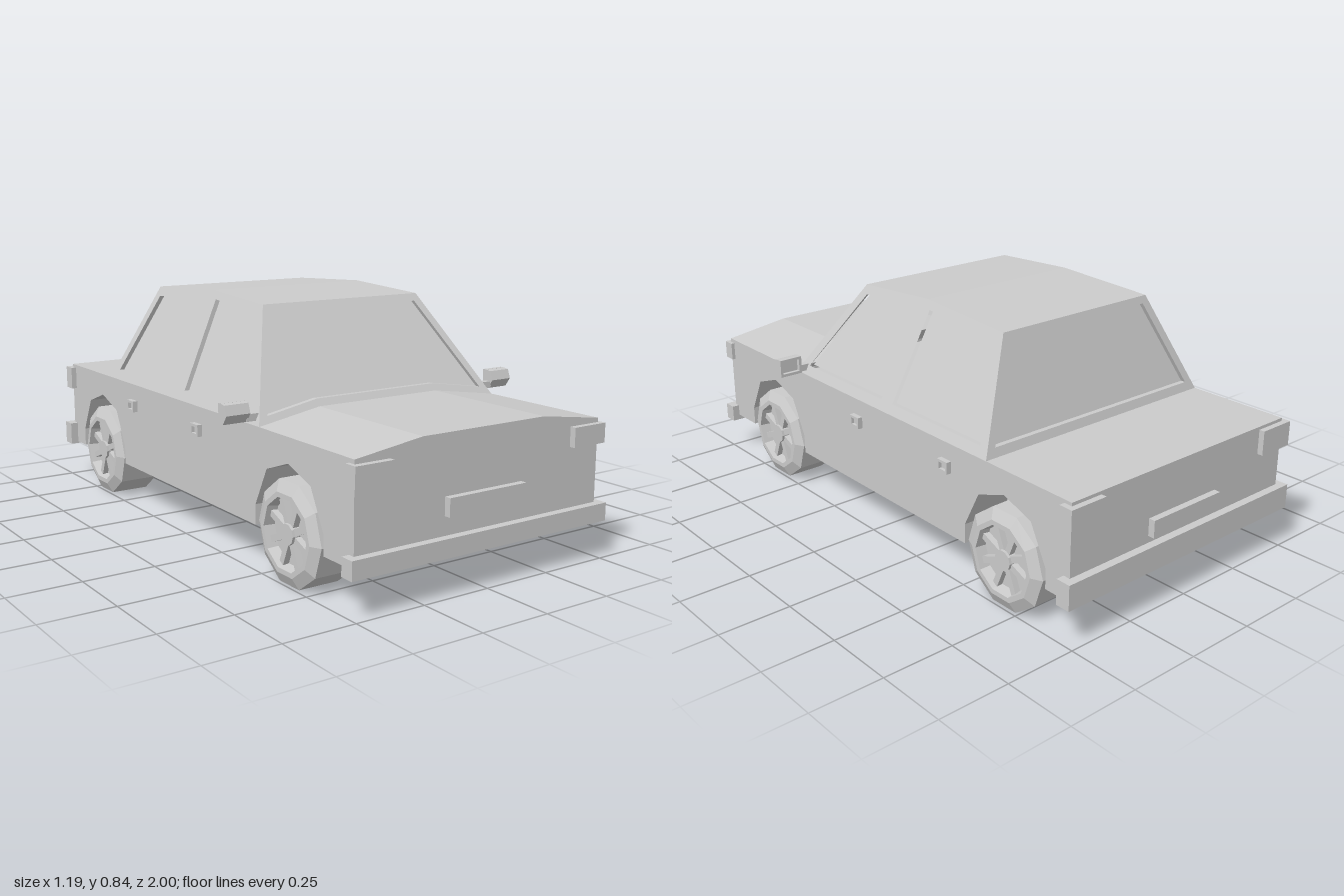
import * as THREE from 'three';

const mat = new THREE.MeshStandardMaterial({ color: 0xcccccc, flatShading: true });
const V = (pts) => pts.map(([x, y]) => new THREE.Vector2(x, y));

function add(parent, name, geometry) {
  const mesh = new THREE.Mesh(geometry, mat);
  mesh.name = name;
  parent.add(mesh);
  return mesh;
}

// Box given by its limits on each axis
function box(parent, name, x0, x1, y0, y1, z0, z1) {
  const g = new THREE.BoxGeometry(Math.abs(x1 - x0), y1 - y0, z1 - z0);
  g.translate((x0 + x1) / 2, (y0 + y1) / 2, (z0 + z1) / 2);
  return add(parent, name, g);
}

// Side profile (-z, y) extruded across x from x0 to x1
function across(pts, x0, x1) {
  const g = new THREE.ExtrudeGeometry(new THREE.Shape(V(pts)), { depth: x1 - x0, bevelEnabled: false });
  return g.rotateY(Math.PI / 2).translate(x0, 0, 0);
}

// Leaning cabin wall with window holes and recessed panes, turned to face its side
function cabinWall(parent, name, outer, holes, base, lean, turn) {
  const depth = 0.018;
  const tilt = (g) => {
    const p = g.attributes.position;
    for (let i = 0; i < p.count; i++) {
      p.setZ(i, p.getZ(i) - depth + base - (p.getY(i) - SILL) * lean);
    }
    g.rotateY(turn);
    g.computeVertexNormals();
    return g;
  };
  const shape = new THREE.Shape(V(outer));
  shape.holes = holes.map((h) => new THREE.Path(V(h)));
  add(parent, name + 'Frame', tilt(new THREE.ExtrudeGeometry(shape, { depth, bevelEnabled: false })));
  for (const h of holes) {
    add(parent, name + 'Glass', tilt(new THREE.ShapeGeometry(new THREE.Shape(V(h)))));
  }
}

const SILL = 0.47, FLOOR = 0.147, HALF = 0.49, END = 0.972;
const FRONT_AXLE = 0.637, REAR_AXLE = -0.684;

function buildBody(car) {
  const body = new THREE.Group();
  body.name = 'body';
  car.add(body);

  // Centre block, and flanks with angular wheel arches
  add(body, 'bodyCore', across([[-END, FLOOR], [END, FLOOR], [END, SILL], [-END, SILL]], -0.33, 0.33));
  const arch = [[-0.187, FLOOR], [-0.187, 0.215], [-0.12, 0.345], [0, 0.387], [0.12, 0.345], [0.187, 0.215], [0.187, FLOOR]];
  const flank = [[-END, FLOOR]];
  for (const axle of [FRONT_AXLE, REAR_AXLE]) {
    for (const [u, y] of arch) flank.push([u - axle, y]);
  }
  flank.push([END, FLOOR], [END, SILL], [-END, SILL]);
  add(body, 'leftFlank', across(flank, 0.33, HALF));
  add(body, 'rightFlank', across(flank, -HALF, -0.33));

  // Crowned hood
  const crown = new THREE.Shape(V([[-HALF, SILL], [HALF, SILL], [0.245, 0.504], [-0.245, 0.504]]));
  add(body, 'hood', new THREE.ExtrudeGeometry(crown, { depth: END - 0.45, bevelEnabled: false }).translate(0, 0, 0.45));
}

function buildCabin(car) {
  const cabin = new THREE.Group();
  cabin.name = 'cabin';
  car.add(cabin);
  const end = [[-HALF, SILL], [HALF, SILL], [0.325, 0.82], [-0.325, 0.82]];

  cabinWall(cabin, 'windshield', end,
    [[[-0.448, 0.497], [-0.245, 0.527], [0.245, 0.527], [0.448, 0.497], [0.305, 0.795], [-0.305, 0.795]]],
    0.475, 0.671, 0);
  cabinWall(cabin, 'rearWindow', end,
    [[[-0.445, 0.5], [0.445, 0.5], [0.305, 0.795], [-0.305, 0.795]]], 0.6, 0.314, Math.PI);

  // Side walls, each with a front and a rear door window
  const side = [[0.475, SILL], [0.24, 0.82], [-0.1, 0.84], [-0.49, 0.82], [-0.6, SILL]];
  const windows = [
    [[0.41, 0.503], [0.222, 0.79], [-0.062, 0.81], [-0.037, 0.503]],
    [[-0.1, 0.503], [-0.126, 0.81], [-0.465, 0.787], [-0.555, 0.503]],
  ];
  for (const s of [1, -1]) {
    const face = (pts) => pts.map(([z, y]) => [-s * z, y]);
    cabinWall(cabin, s > 0 ? 'leftSide' : 'rightSide', face(side), windows.map(face), HALF, 0.471, s * Math.PI / 2);
  }

  // Roof with a shallow ridge across it
  const roof = new THREE.BufferGeometry();
  const corners = [];
  for (const [x, y, z] of [[0.325, 0.82, 0.24], [0.316, 0.84, -0.1], [0.325, 0.82, -0.49]]) {
    corners.push(-x, y, z, x, y, z);
  }
  roof.setAttribute('position', new THREE.Float32BufferAttribute(corners, 3));
  roof.setIndex([0, 1, 3, 0, 3, 2, 2, 3, 5, 2, 5, 4]);
  roof.computeVertexNormals();
  add(cabin, 'roof', roof);
}

function buildWheel(car, name, s, z) {
  const wheel = new THREE.Group();
  wheel.name = name;
  // Ten-sided tyre with a bevelled outer wall and a sunken rim
  const profile = V([[0, -0.08], [0.173, -0.08], [0.173, 0.065], [0.135, 0.083], [0.118, 0.083], [0.112, 0.045], [0, 0.045]]);
  add(wheel, 'tyre', new THREE.LatheGeometry(profile, 10).rotateZ(-Math.PI / 2));
  add(wheel, 'hub', new THREE.CylinderGeometry(0.035, 0.035, 0.03, 10).rotateZ(-Math.PI / 2).translate(0.06, 0, 0));
  for (let i = 0; i < 8; i++) {
    const spoke = new THREE.BoxGeometry(0.022, 0.09, 0.022).translate(0.055, 0.07, 0);
    add(wheel, 'spoke', spoke.rotateX((i + 0.5) * Math.PI / 4));
  }
  wheel.position.set(s * 0.421, 0.165, z);
  if (s < 0) wheel.rotation.y = Math.PI;
  car.add(wheel);
}

function buildMirror(car, s) {
  const mirror = new THREE.Group();
  mirror.name = s > 0 ? 'leftMirror' : 'rightMirror';
  car.add(mirror);
  const x0 = s > 0 ? 0.51 : -0.597;
  // Wedge-shaped shell with a rim round the rear-facing glass
  const shell = [[-0.422, 0.485], [-0.422, 0.548], [-0.445, 0.545], [-0.457, 0.513], [-0.435, 0.482]];
  add(mirror, 'mirrorShell', across(shell, x0, x0 + 0.087));
  for (const y of [0.484, 0.538]) box(mirror, 'mirrorRim', x0, x0 + 0.087, y, y + 0.01, 0.408, 0.424);
  for (const x of [x0, x0 + 0.077]) box(mirror, 'mirrorRim', x, x + 0.01, 0.494, 0.538, 0.408, 0.424);
  box(mirror, 'mirrorStem', s * 0.46, s * 0.515, 0.484, 0.508, 0.42, 0.445);
}

function buildHandle(car, s, z) {
  const handle = new THREE.Group();
  handle.name = 'doorHandle';
  car.add(handle);
  // Square surround with a sunken middle
  const a = s * 0.48, b = s * 0.508;
  for (const y of [0.37, 0.402]) box(handle, 'handleRim', a, b, y, y + 0.009, z - 0.025, z + 0.025);
  for (const dz of [-0.025, 0.016]) box(handle, 'handleRim', a, b, 0.379, 0.402, z + dz, z + dz + 0.009);
  box(handle, 'handleCentre', a, s * 0.497, 0.379, 0.402, z - 0.016, z + 0.016);
}

export function createModel() {
  const car = new THREE.Group();
  car.name = 'car';
  buildBody(car);
  buildCabin(car);

  // Bumpers and number plates
  box(car, 'frontBumper', -0.517, 0.517, 0.127, 0.188, 0.95, 1);
  box(car, 'rearBumper', -0.519, 0.519, 0.14, 0.226, -1, -0.947);
  box(car, 'frontPlate', -0.155, 0.155, 0.25, 0.31, 0.96, 0.995);
  box(car, 'rearPlate', -0.155, 0.155, 0.25, 0.31, -0.995, -0.96);

  for (const s of [1, -1]) {
    box(car, 'headlight', s * 0.365, s * 0.503, 0.39, 0.456, 0.947, 0.993);
    box(car, 'tailLight', s * 0.37, s * 0.51, 0.373, 0.459, -0.992, -0.942);
    buildWheel(car, 'frontWheel', s, FRONT_AXLE);
    buildWheel(car, 'rearWheel', s, REAR_AXLE);
    buildMirror(car, s);
    buildHandle(car, s, 0.085);
    buildHandle(car, s, -0.405);
  }
  return car;
}
